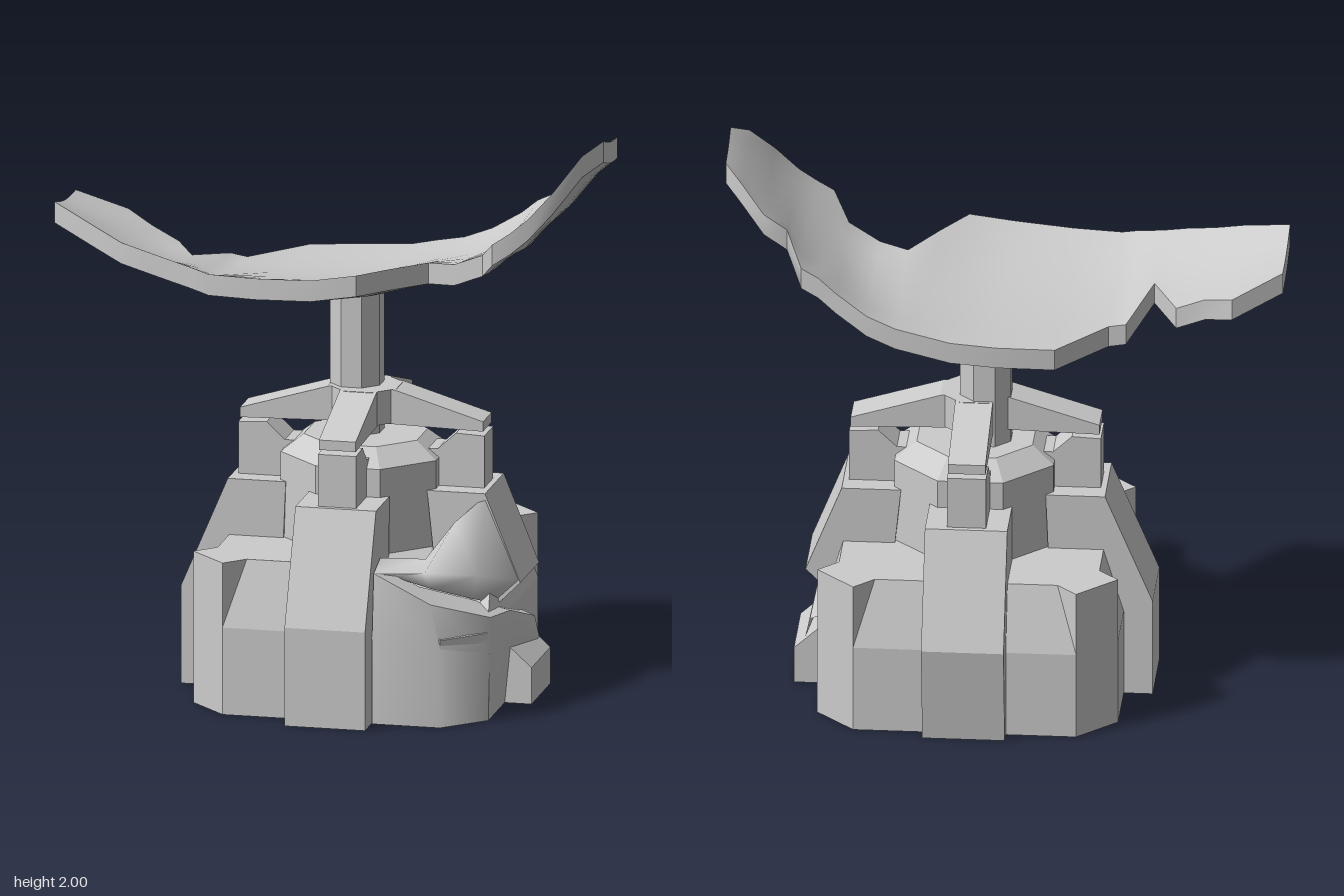
import * as THREE from 'three';
import { toCreasedNormals } from 'three/addons/utils/BufferGeometryUtils.js';

const flat = new THREE.MeshStandardMaterial({ color: 0xcccccc, flatShading: true, side: THREE.DoubleSide });
const smooth = new THREE.MeshStandardMaterial({ color: 0xcccccc, side: THREE.DoubleSide });

function add(parent, name, geometry, material = flat) {
  const mesh = new THREE.Mesh(geometry, material);
  mesh.name = name;
  parent.add(mesh);
  return mesh;
}

// Skin over rows of points; loop closes each row
function loft(rows, loop = false) {
  const n = rows[0].length, index = [];
  for (let i = 0; i < rows.length - 1; i++) {
    for (let j = 0; j < (loop ? n : n - 1); j++) {
      const k = (j + 1) % n, a = i * n + j, b = i * n + k;
      index.push(a, a + n, b, b, a + n, b + n);
    }
  }
  const g = new THREE.BufferGeometry();
  g.setAttribute('position', new THREE.Float32BufferAttribute(rows.flat(2), 3));
  g.setIndex(index);
  g.computeVertexNormals();
  return g;
}

// Slab with a (radius, height) profile, turned to face an angle and left open on the ground
function radialSlab(parent, name, profile, width, angle) {
  const shape = new THREE.Shape(profile.map(([r, y]) => new THREE.Vector2(r, y)));
  const g = new THREE.ExtrudeGeometry(shape, { depth: width, bevelEnabled: false });
  g.translate(0, 0, -width / 2);
  const p = g.attributes.position.array, kept = [];
  for (let i = 0; i < p.length; i += 9) {
    if (p[i + 1] || p[i + 4] || p[i + 7]) kept.push(...p.slice(i, i + 9));
  }
  const open = new THREE.BufferGeometry();
  open.setAttribute('position', new THREE.Float32BufferAttribute(kept, 3));
  open.computeVertexNormals();
  add(parent, name, open).rotation.y = angle;
}

// Torn, curved dish: each station is [x, zBack, zFront, yBack, yFront]
function dishGeometry() {
  const stations = [
    [-0.97, -0.21, 0.11, 1.64, 1.68], [-0.8, -0.28, 0.21, 1.565, 1.625],
    [-0.7, -0.21, 0.26, 1.53, 1.59], [-0.6, -0.19, 0.29, 1.485, 1.57],
    [-0.51, 0, 0.31, 1.49, 1.55], [-0.43, -0.24, 0.335, 1.44, 1.535],
    [-0.37, -0.24, 0.35, 1.43, 1.52], [-0.2, -0.45, 0.37, 1.43, 1.52],
    [0, -0.47, 0.39, 1.44, 1.53], [0.16, -0.465, 0.38, 1.45, 1.555],
    [0.25, -0.46, 0.25, 1.47, 1.55], [0.35, -0.45, 0.1, 1.49, 1.54],
    [0.45, -0.44, 0.14, 1.53, 1.55], [0.56, -0.41, 0.18, 1.6, 1.6],
    [0.62, -0.4, 0.29, 1.65, 1.67], [0.68, -0.39, 0.28, 1.68, 1.71],
    [0.74, -0.25, 0.26, 1.76, 1.76], [0.82, -0.26, 0.23, 1.82, 1.85],
    [0.9, -0.21, 0.13, 1.91, 1.96], [0.96, -0.15, 0.06, 1.96, 2],
  ];
  const steps = 6;
  const rows = stations.map(([x, zb, zf, yb, yf]) => {
    const top = [];
    for (let j = 0; j <= steps; j++) {
      const t = j / steps;
      const dip = 0.045 * (zf - zb) * Math.sin(Math.PI * t);
      top.push([x, yb + (yf - yb) * t - dip, zb + (zf - zb) * t]);
    }
    const under = top.map(([px, y, z]) => [px, y - 0.075, z]).reverse();
    return [...top, ...under];
  });
  // Close both ends
  const cap = row => row.map((p, j) => row[j <= steps ? j : 2 * steps + 1 - j]);
  return toCreasedNormals(loft([cap(rows[0]), ...rows, cap(rows.at(-1))], true), 0.7);
}

export function createModel() {
  const model = new THREE.Group();
  model.name = 'brokenDish';
  const base = new THREE.Group();
  base.name = 'base';
  base.position.x = 0.105;
  model.add(base);

  // Hollow core with battered walls, sunken at the damaged corner
  const ring = (a, c, y) => {
    let side = [[a, 0], [a, c], [c, a]];
    const points = [];
    for (let i = 0; i < 4; i++) {
      points.push(...side.map(([x, z]) => [x, y, z]));
      side = side.map(([x, z]) => [-z, x]);
    }
    return points;
  };
  const rim = ring(0.45, 0.385, 0.54);
  rim[1] = [0.46, 0.33, 0.28];
  rim[2] = [0.32, 0.38, 0.42];
  add(base, 'core', loft([ring(0.52, 0.385, 0), ring(0.52, 0.385, 0.31), rim, ring(0.26, 0.12, 0.54)], true));

  const block = h => [[0.36, 0], [0.64, 0], [0.64, h], [0.36, h]];
  const buttress = foot => [[0.28, 0], [foot, 0], [0.62, 0.35], [0.455, 0.74], [0.25, 0.74]];
  const post = [[0.22, 0.7], [0.435, 0.7], [0.435, 0.925], [0.335, 0.93], [0.27, 0.87], [0.22, 0.87]];
  const arm = [[0, 0.95], [0.43, 0.94], [0.43, 0.975], [0.115, 1.07], [0, 1.07]];
  for (let i = 0; i < 4; i++) {
    const a = i * Math.PI / 2;
    if (i > 0) radialSlab(base, 'buttress', buttress(i === 1 ? 0.57 : 0.62), 0.285, a);
    radialSlab(base, 'cornerBlock', block(i === 3 ? 0.24 : 0.54), 0.19, a + Math.PI / 4);
    radialSlab(base, 'post', post, 0.135, a);
    radialSlab(base, 'arm', arm, 0.13, a);
  }

  // Broken buttress on the left side
  radialSlab(base, 'brokenButtressStub', [[0.28, 0], [0.62, 0], [0.62, 0.13], [0.52, 0.22], [0.28, 0.26]], 0.285, 0);
  radialSlab(base, 'brokenButtressTop', [[0.28, 0.45], [0.5, 0.35], [0.58, 0.43], [0.455, 0.74], [0.25, 0.74]], 0.285, 0);

  // Eight-sided drum with a bevelled top, and the hub
  const octagon = points => {
    const g = new THREE.LatheGeometry(points.map(([r, h]) => new THREE.Vector2(r / Math.cos(Math.PI / 8), h)), 8);
    return g.rotateY(Math.PI / 8);
  };
  add(base, 'drum', octagon([[0.275, 0.5], [0.275, 0.84], [0.2, 0.9], [0, 0.9]]));
  add(base, 'hub', octagon([[0, 0.95], [0.12, 0.95], [0.12, 1.07], [0, 1.07]]));

  // Pole
  const pole = octagon([[0.088, 0.88], [0.088, 1.42]]);
  add(model, 'pole', pole).position.set(0.07, 0, -0.02);

  // Bent wall sheets around the damaged corner
  add(model, 'bentLowerWall', toCreasedNormals(loft([
    [[0.25, 0, 0.525], [0.49, 0, 0.525], [0.63, 0, 0.39], [0.63, 0, 0.14], [0.63, 0, -0.14]],
    [[0.25, 0.3, 0.525], [0.49, 0.28, 0.525], [0.635, 0.24, 0.39], [0.65, 0.2, 0.14], [0.69, 0.15, -0.14]],
    [[0.25, 0.53, 0.5], [0.45, 0.43, 0.5], [0.63, 0.36, 0.36], [0.65, 0.33, 0.14], [0.67, 0.24, -0.14]],
    [[0.25, 0.54, 0.4], [0.38, 0.46, 0.38], [0.5, 0.4, 0.26], [0.52, 0.36, 0.12], [0.52, 0.3, -0.14]],
  ]), 0.8), smooth);
  add(model, 'crumpledUpperWall', loft([
    [[0.25, 0.56, 0.4], [0.38, 0.53, 0.27], [0.46, 0.64, 0.18], [0.56, 0.73, 0.13]],
    [[0.25, 0.53, 0.5], [0.42, 0.53, 0.46], [0.58, 0.5, 0.34], [0.68, 0.44, 0.14]],
    [[0.3, 0.5, 0.42], [0.43, 0.46, 0.4], [0.55, 0.4, 0.28], [0.6, 0.34, 0.1]],
  ]), smooth);

  // Dish
  add(model, 'dish', dishGeometry(), smooth);
  return model;
}
